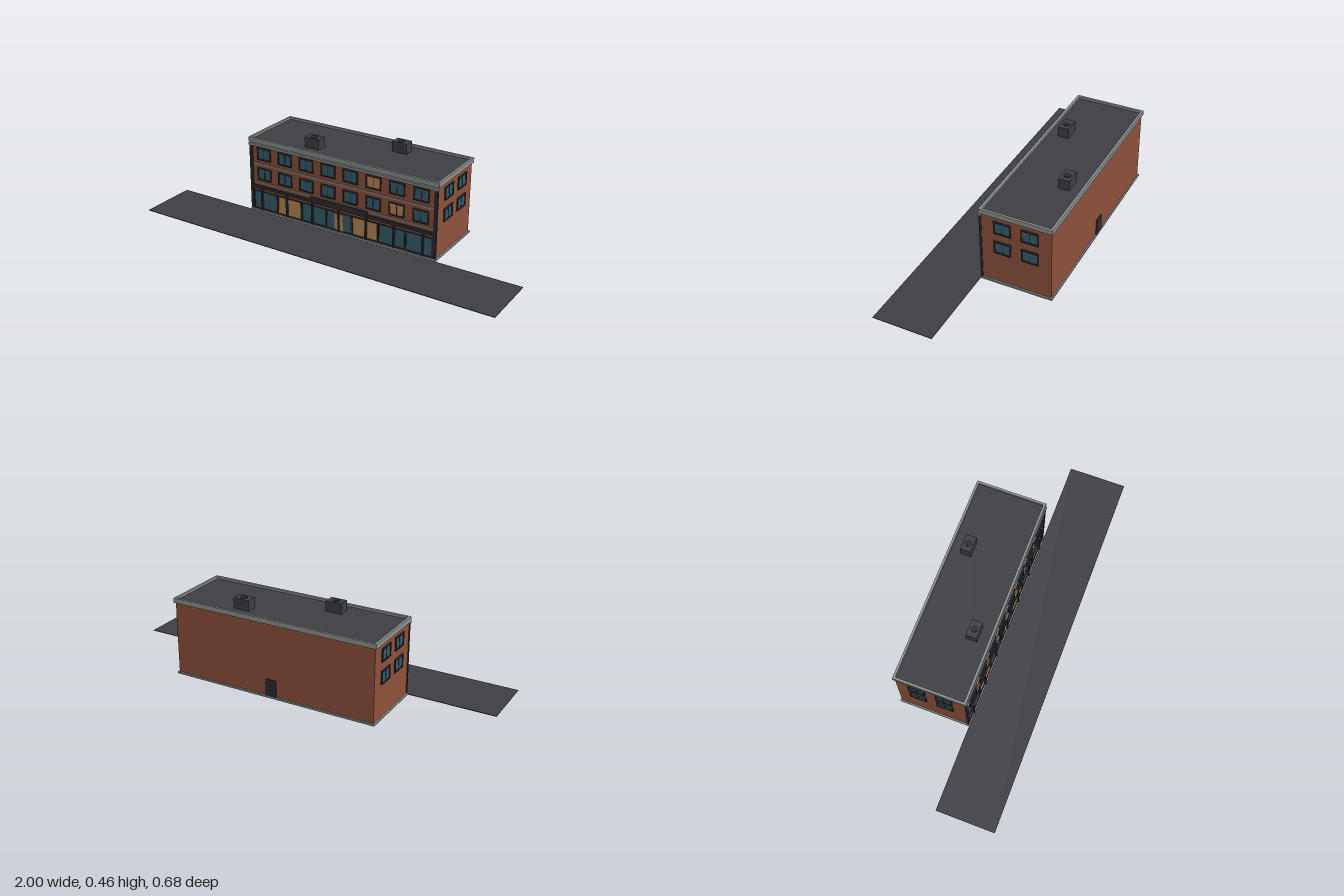
import * as THREE from 'three';

const mat = (name, color) => {
  const m = new THREE.MeshStandardMaterial({ color });
  m.name = name;
  return m;
};

export function createModel() {
  const brick = mat('brick', 0x8f523c);
  const stone = mat('stone', 0x8c9391);
  const dark = mat('dark metal', 0x2c2d32);
  const asphalt = mat('asphalt', 0x3f3e43);
  const glass = mat('glass', 0x37606f);
  const lit = mat('lit glass', 0xbd8c52);

  const model = new THREE.Group();
  model.name = 'building';

  // Box given by its extents on each axis
  const box = (name, m, x0, x1, y0, y1, z0, z1, parent = model) => {
    const mesh = new THREE.Mesh(new THREE.BoxGeometry(x1 - x0, y1 - y0, z1 - z0), m);
    mesh.name = name;
    mesh.position.set((x0 + x1) / 2, (y0 + y1) / 2, (z0 + z1) / 2);
    parent.add(mesh);
    return mesh;
  };

  const FRONT = 0.022, BACK = -0.333, SIDE = 0.545;

  // Ground, base, walls and roof
  box('pavement', asphalt, -1, 1, 0, 0.003, 0.032, 0.34);
  box('plinth', stone, -0.553, 0.553, 0.003, 0.012, -0.34, 0.03);
  box('walls', brick, -SIDE, SIDE, 0.012, 0.387, BACK, FRONT);
  box('roof', asphalt, -0.542, 0.542, 0.387, 0.4, -0.33, 0.02);

  // Parapet
  box('frontParapet', stone, -0.553, 0.553, 0.387, 0.412, 0.016, 0.029);
  box('backParapet', stone, -0.553, 0.553, 0.387, 0.412, -0.34, -0.328);
  for (const s of [-1, 1]) {
    const x = s * 0.547;
    box('sideParapet', stone, x - 0.006, x + 0.006, 0.387, 0.412, -0.328, 0.016);
  }

  // Front bands
  box('cornice', stone, -0.55, 0.55, 0.371, 0.384, FRONT, 0.034);
  box('floorBand', stone, -0.53, 0.53, 0.268, 0.276, FRONT, 0.027);
  box('shopBand', stone, -0.53, 0.53, 0.164, 0.17, FRONT, 0.027);
  for (const s of [-1, 1]) {
    const x = s * 0.54;
    box('cornerPost', dark, x - 0.008, x + 0.008, 0.012, 0.371, FRONT - 0.002, 0.031);
  }

  // Window centred on its own origin, facing +z
  const makeWindow = (w, h, pane) => {
    const g = new THREE.Group();
    g.name = 'window';
    const t = 0.003;
    box('pane', pane, -w / 2, w / 2, -h / 2, h / 2, -0.002, 0.003, g);
    for (const s of [-1, 1]) {
      box('frameSide', dark, s * w / 2 - t, s * w / 2 + t, -h / 2, h / 2, -0.002, 0.007, g);
      box('frameRail', dark, -w / 2 - t, w / 2 + t, s * h / 2 - t, s * h / 2 + t, -0.002, 0.008, g);
    }
    box('mullion', dark, -0.0015, 0.0015, -h / 2, h / 2, -0.002, 0.005, g);
    return g;
  };

  const ROWS = [0.217, 0.329];
  ROWS.forEach((y, row) => {
    // Front windows, two of them lit
    for (let i = 0; i < 8; i++) {
      const isLit = (row === 1 && i === 5) || (row === 0 && i === 6);
      const win = makeWindow(0.078, 0.062, isLit ? lit : glass);
      win.position.set((i - 3.5) * 0.1315, y, FRONT);
      model.add(win);
    }
    // Side windows
    for (const s of [-1, 1]) {
      for (const z of [-0.087, -0.226]) {
        const win = makeWindow(0.08, 0.062, glass);
        win.position.set(s * SIDE, y, z);
        win.rotation.y = s * Math.PI / 2;
        model.add(win);
      }
    }
  });

  // Shop front: seven glazed bays
  for (let i = -3; i <= 3; i++) {
    const x = i * 0.152;
    const pane = i === -2 || i === 1 ? lit : glass;
    box('shopPane', pane, x - 0.07, x + 0.07, 0.02, 0.114, FRONT - 0.002, 0.025);
    for (const s of [-1, 1]) {
      const fx = x + s * 0.072;
      box('shopFrame', dark, fx - 0.003, fx + 0.003, 0.014, 0.118, FRONT - 0.002, 0.028);
    }
    box('shopSill', dark, x - 0.075, x + 0.075, 0.012, 0.02, FRONT - 0.002, 0.028);
    box('shopHead', dark, x - 0.075, x + 0.075, 0.113, 0.119, FRONT - 0.002, 0.028);
    // Slim posts in front of the glazing
    const px = i * 0.159;
    box('shopPost', dark, px - 0.005, px + 0.005, 0.012, 0.15, FRONT, 0.034);
  }
  box('frontDoor', lit, -0.025, 0.025, 0.014, 0.108, FRONT, 0.0275);
  box('fascia', dark, -0.532, 0.532, 0.133, 0.15, FRONT, 0.031);
  box('signBoard', dark, -0.168, 0.168, 0.142, 0.169, FRONT, 0.033);

  // Back door
  box('backDoor', dark, -0.028, 0.028, 0.012, 0.1, -0.34, BACK + 0.002);

  // Rooftop units with round fan caps
  for (const [x, z] of [[-0.202, -0.063], [0.198, -0.249]]) {
    box('roofUnit', asphalt, x - 0.042, x + 0.042, 0.4, 0.454, z - 0.028, z + 0.028);
    const fan = new THREE.Mesh(new THREE.CylinderGeometry(0.018, 0.018, 0.004, 12), dark);
    fan.name = 'fanCap';
    fan.position.set(x, 0.455, z);
    model.add(fan);
  }

  return model;
}
